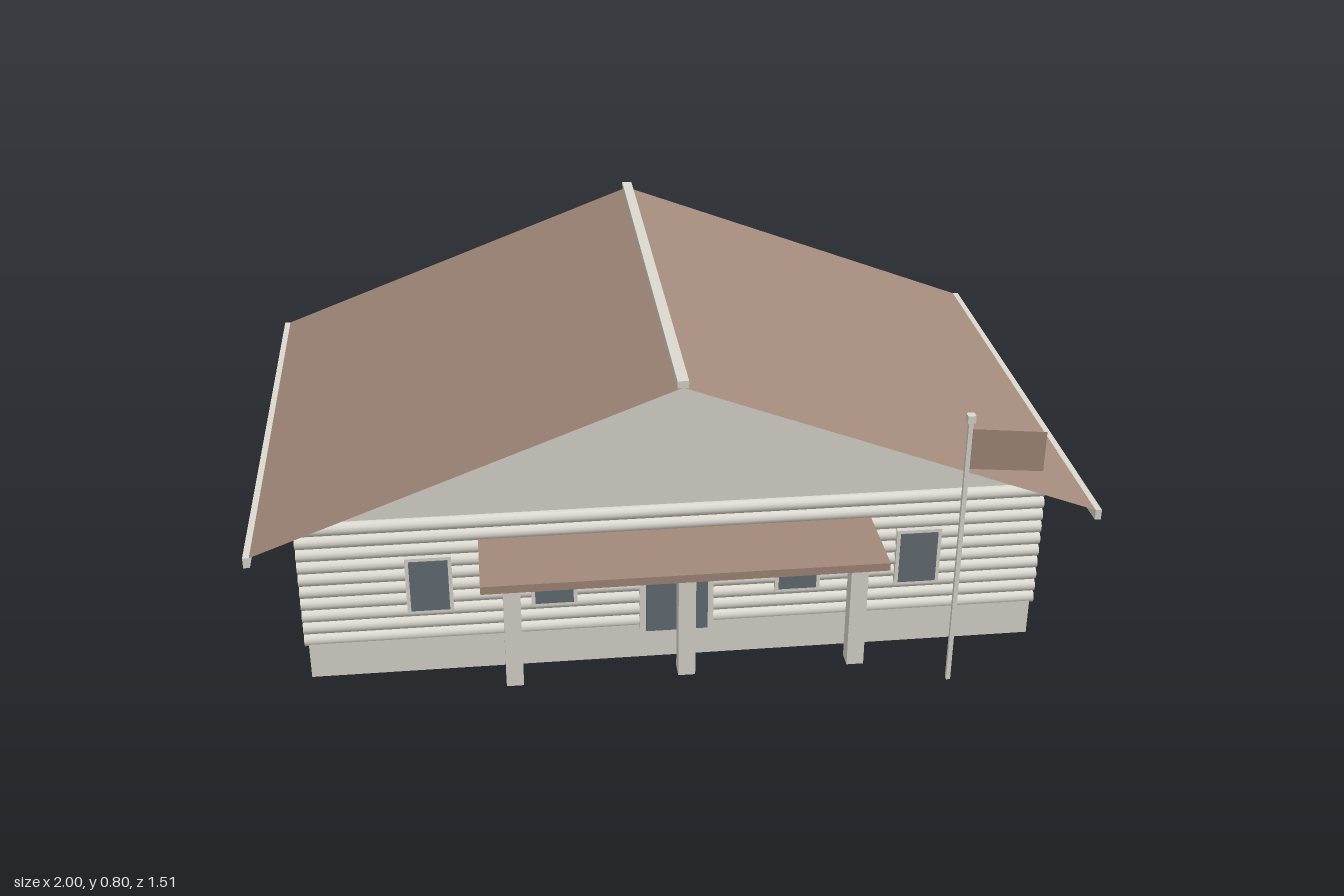
import * as THREE from 'three';

export function createModel() {
  const model = new THREE.Group();
  model.name = 'logCabin';

  const mat = (name, color, side = THREE.FrontSide) => {
    const m = new THREE.MeshStandardMaterial({ color, side });
    m.name = name;
    return m;
  };
  const stone = mat('pale timber', 0xdcd9d0, THREE.DoubleSide);
  const brown = mat('brown roofing', 0xa2897b, THREE.DoubleSide);
  const glass = mat('dark glass', 0x656f77);

  const add = (name, geometry, material) => {
    const mesh = new THREE.Mesh(geometry, material);
    mesh.name = name;
    model.add(mesh);
    return mesh;
  };
  // Box given by its minimum and maximum corners
  const box = (name, material, x0, x1, y0, y1, z0, z1) => {
    const mesh = add(name, new THREE.BoxGeometry(x1 - x0, y1 - y0, z1 - z0), material);
    mesh.position.set((x0 + x1) / 2, (y0 + y1) / 2, (z0 + z1) / 2);
    return mesh;
  };
  // Flat four-cornered sheet, corners anticlockwise
  const sheet = (name, material, corners) => {
    const g = new THREE.BufferGeometry();
    g.setAttribute('position', new THREE.Float32BufferAttribute(corners.flat(), 3));
    g.setIndex([0, 1, 2, 0, 2, 3]);
    g.computeVertexNormals();
    return add(name, g, material);
  };

  const zFront = 0.443, zBack = -0.632, logBase = 0.083, floorY = 0.117;
  const logR = 0.0168, logCount = 10, wallTop = 0.415;

  // Foundation walls, hollow underneath, their tops tucked into the lowest logs
  const bx = 0.885, bf = 0.458, bb = -0.647, wallY = 0.1;
  const ring = [[-bx, bf], [bx, bf], [bx, bb], [-bx, bb]];
  ring.forEach(([xa, za], i) => {
    const [xb, zb] = ring[(i + 1) % 4];
    sheet('foundationWall', stone, [[xa, 0, za], [xb, 0, zb], [xb, wallY, zb], [xa, wallY, za]]);
  });

  // House body with gabled ends; its underside is the raised floor
  const profile = new THREE.Shape();
  profile.moveTo(-0.87, floorY);
  profile.lineTo(0.87, floorY);
  profile.lineTo(0.87, wallTop);
  profile.lineTo(0, 0.77);
  profile.lineTo(-0.87, wallTop);
  profile.closePath();
  const body = new THREE.ExtrudeGeometry(profile, { depth: zFront - zBack, bevelEnabled: false });
  add('houseBody', body, stone).position.z = zBack;

  // Stacked logs on the front and back walls
  const logGeometry = new THREE.CylinderGeometry(logR, logR, 1.79, 12).rotateZ(Math.PI / 2);
  for (const z of [zFront, zBack]) {
    for (let i = 0; i < logCount; i++) {
      add('wallLog', logGeometry, stone).position.set(0, logBase + logR * (2 * i + 1), z);
    }
  }

  // Thin roof slopes, eave boards and side sills, mirrored
  const rf = 0.56, rb = -0.753;
  for (const s of [-1, 1]) {
    const slope = [[0, 0.78, rf], [s * 0.99, 0.403, rf], [s * 0.99, 0.403, rb], [0, 0.78, rb]];
    sheet('roofSlope', brown, s > 0 ? slope : slope.reverse());
    box('eaveBoard', stone, s * 0.9925 - 0.0075, s * 0.9925 + 0.0075, 0.379, 0.405, rb, rf);
    box('sideSill', stone, s * 0.8775 - 0.0075, s * 0.8775 + 0.0075, wallY, floorY, zBack, zFront);
  }
  box('ridgeCap', stone, -0.013, 0.013, 0.779, 0.796, rb, rf);

  // Framed windows
  for (const x of [-0.59, -0.295, 0, 0.295, 0.59]) {
    box('windowFrame', stone, x - 0.055, x + 0.055, 0.168, 0.32, 0.45, 0.465);
    box('windowGlass', glass, x - 0.046, x + 0.046, 0.176, 0.312, 0.463, 0.467);
  }

  // Double door
  box('doorFrame', stone, -0.09, 0.09, logBase, 0.27, 0.45, 0.464);
  box('doorGlass', glass, -0.075, 0.075, logBase, 0.256, 0.463, 0.474);

  // Porch canopy on three posts
  box('porchRoof', brown, -0.47, 0.47, 0.337, 0.357, zFront, 0.664);
  for (const x of [-0.4, 0, 0.4]) {
    box('porchPost', stone, x - 0.02, x + 0.02, logBase, 0.337, 0.624, 0.664);
  }

  // Square flagpole with cap and drooping flag
  const px = 0.603, pz = 0.744;
  box('flagpole', stone, px - 0.005, px + 0.005, logBase, 0.757, pz - 0.005, pz + 0.005);
  box('poleCap', stone, px - 0.009, px + 0.009, 0.755, 0.773, pz - 0.009, pz + 0.009);
  sheet('flag', brown, [[px + 0.005, 0.639, pz], [0.777, 0.623, pz], [0.777, 0.72, pz], [px + 0.005, 0.737, pz]]);

  return model;
}
